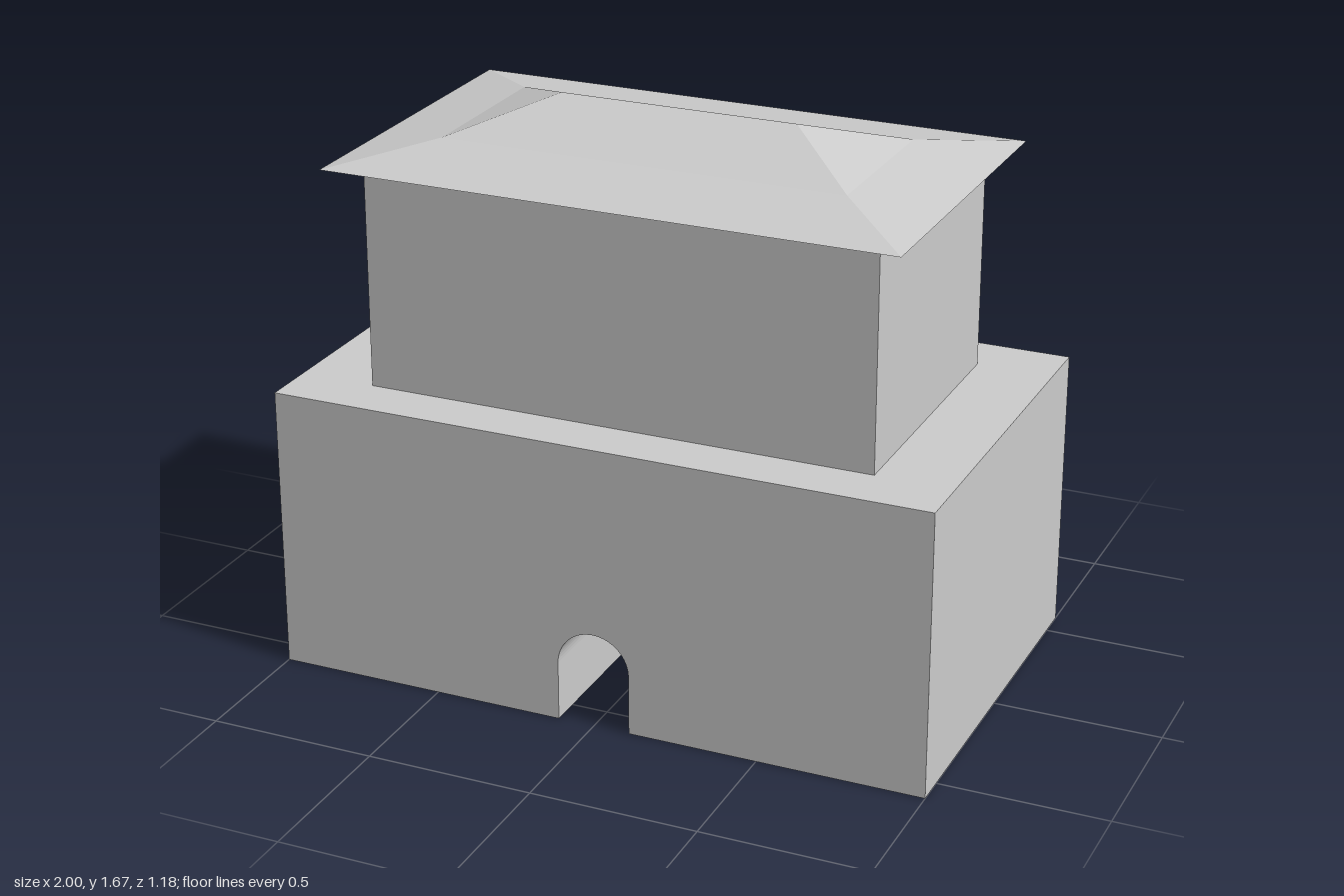
import * as THREE from 'three';

const material = new THREE.MeshStandardMaterial({ color: 0xcccccc, flatShading: true });

function addMesh(group, name, geometry) {
  const mesh = new THREE.Mesh(geometry, material);
  mesh.name = name;
  group.add(mesh);
  return mesh;
}

// Block with an arched passage running from front to back
function gateBase(halfW, height, depth, archR, springY) {
  const shape = new THREE.Shape();
  shape.moveTo(-halfW, 0);
  shape.lineTo(-archR, 0);
  shape.lineTo(-archR, springY);
  shape.absarc(0, springY, archR, Math.PI, 0, true);
  shape.lineTo(archR, 0);
  shape.lineTo(halfW, 0);
  shape.lineTo(halfW, height);
  shape.lineTo(-halfW, height);
  shape.closePath();
  return new THREE.ExtrudeGeometry(shape, { depth, bevelEnabled: false, curveSegments: 16 })
    .translate(0, 0, -depth / 2);
}

// Hipped roof from rectangular rings [halfX, y, halfZ], lowest first
function hippedRoof(rings) {
  const positions = [];
  const corners = rings.map(([x, y, z]) => [[-x, y, z], [x, y, z], [x, y, -z], [-x, y, -z]]);
  const quad = (a, b, c, d) => positions.push(...a, ...b, ...c, ...a, ...c, ...d);
  for (let r = 0; r < rings.length - 1; r++) {
    const low = corners[r], high = corners[r + 1];
    for (let i = 0; i < 4; i++) {
      const j = (i + 1) % 4;
      const pointed = i % 2 === 1 && rings[r + 1][2] === 0; // hip ends close to a point
      if (pointed) positions.push(...low[i], ...low[j], ...high[j]);
      else quad(low[i], low[j], high[j], high[i]);
    }
  }
  const [a, b, c, d] = corners[0];
  quad(d, c, b, a); // flat underside
  const geometry = new THREE.BufferGeometry();
  geometry.setAttribute('position', new THREE.Float32BufferAttribute(positions, 3));
  geometry.computeVertexNormals();
  return geometry;
}

export function createModel() {
  const group = new THREE.Group();
  group.name = 'gatehouse';

  addMesh(group, 'archedBase', gateBase(1, 0.86, 1.18, 0.11, 0.18));

  addMesh(group, 'upperStorey', new THREE.BoxGeometry(1.54, 0.67, 0.86)).position.y = 1.195;

  // Eaves, change of slope, ridge
  addMesh(group, 'hippedRoof', hippedRoof([
    [0.86, 1.53, 0.52],
    [0.61, 1.58, 0.26],
    [0.36, 1.67, 0],
  ]));

  return group;
}
